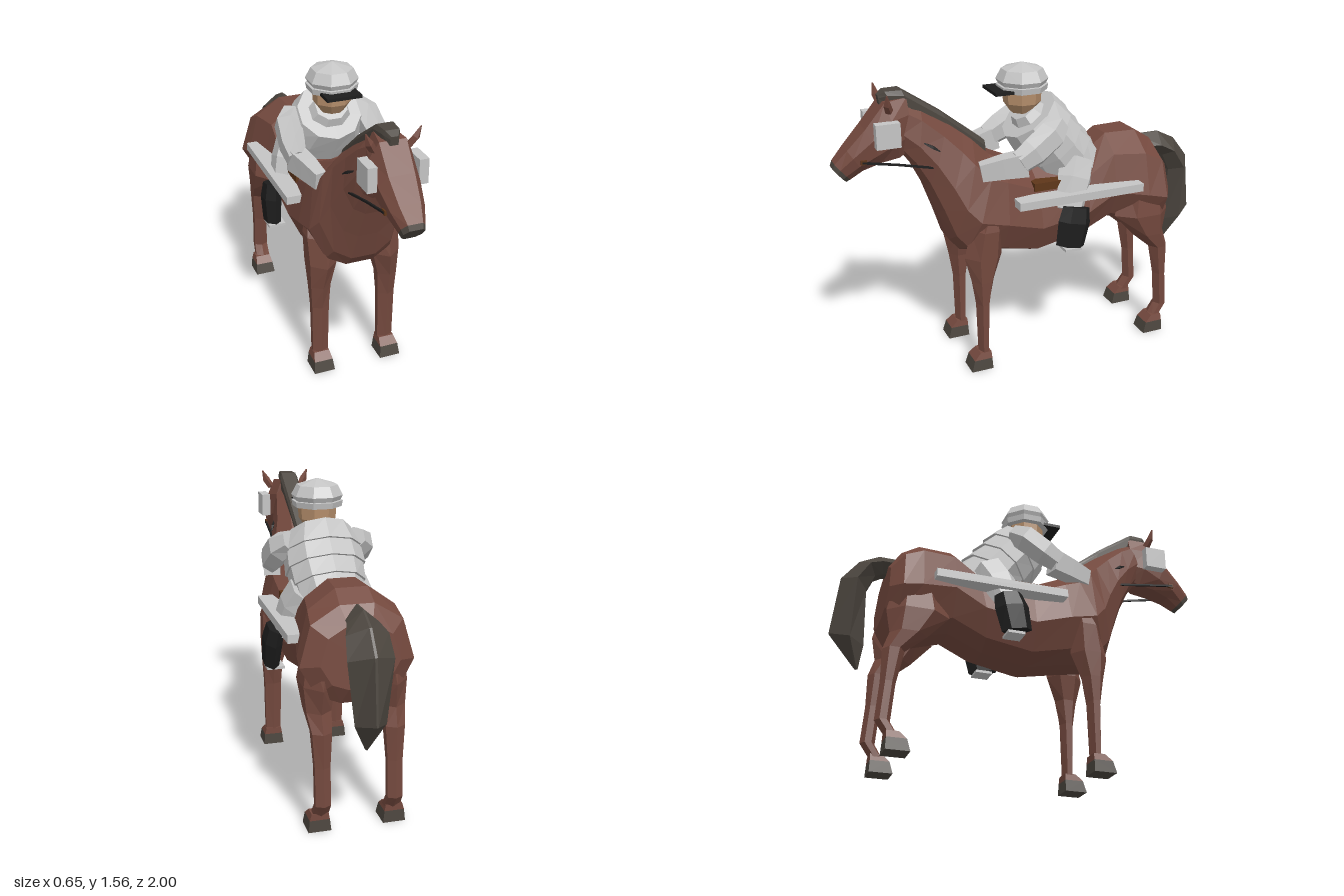
import * as THREE from 'three';

const mat = (name, color) => Object.assign(new THREE.MeshStandardMaterial({ color }), { name });

// Closed faceted skin through rings of equal point count; faces are wound outward by volume sign.
function loft(rings) {
  const tris = [], n = rings[0].length;
  for (let i = 0; i < rings.length - 1; i++) {
    for (let j = 0; j < n; j++) {
      const k = (j + 1) % n, A = rings[i], B = rings[i + 1];
      tris.push([A[j], A[k], B[k]], [A[j], B[k], B[j]]);
    }
  }
  const cap = (ring, flip) => {
    const c = [0, 1, 2].map(a => ring.reduce((s, p) => s + p[a], 0) / n);
    ring.forEach((p, j) => {
      const q = ring[(j + 1) % n];
      tris.push(flip ? [c, q, p] : [c, p, q]);
    });
  };
  cap(rings[0], true);
  cap(rings[rings.length - 1], false);
  let vol = 0;
  for (const [a, b, c] of tris) {
    vol += a[0] * (b[1] * c[2] - b[2] * c[1]) + a[1] * (b[2] * c[0] - b[0] * c[2]) + a[2] * (b[0] * c[1] - b[1] * c[0]);
  }
  const pos = tris.flatMap(t => (vol < 0 ? [t[0], t[2], t[1]] : t)).flat();
  const g = new THREE.BufferGeometry();
  g.setAttribute('position', new THREE.Float32BufferAttribute(pos, 3));
  g.computeVertexNormals();
  return g;
}

// Upright body section between a top and a bottom point, shaped by (t, width) pairs.
const BARREL = [[0, 0.3], [0.18, 0.8], [0.6, 1], [0.9, 0.72], [1, 0.3]];
const HEAD = [[0, 0.62], [0.3, 1], [0.7, 0.95], [1, 0.55]];
const PLATE = [[0, 0.8], [0.3, 1], [1, 1]];
const TAIL = [[0, 0.06], [0.55, 1], [1, 0.35]];
function section([tz, ty, bz, by, w], shape) {
  const half = shape.map(([t, f]) => [w * f, ty + (by - ty) * t, tz + (bz - tz) * t]);
  return [...half, ...half.map(([x, y, z]) => [-x, y, z]).reverse()];
}

// Level six-sided leg section: y, back z, front z, inner x, outer x.
function legRing([y, zb, zf, xi, xo], s) {
  const xm = (xi + xo) / 2, d = zf - zb;
  return [[xm, zf], [xo, zf - d * 0.3], [xo, zb + d * 0.25], [xm, zb], [xi, zb + d * 0.25], [xi, zf - d * 0.3]]
    .map(([x, z]) => [x * s, y, z]);
}

// Level four-cornered foot section with the same values.
const footRing = ([y, zb, zf, xi, xo], s) => [[xi, zb], [xi, zf], [xo, zf], [xo, zb]].map(([x, z]) => [x * s, y, z]);

// Tube of given side count through points [x, y, z, half width, half depth].
function limb(path, sides = 6, turn = 0.5) {
  const P = path.map(p => new THREE.Vector3(p[0], p[1], p[2]));
  return loft(path.map((p, i) => {
    const d = P[Math.min(i + 1, P.length - 1)].clone().sub(P[Math.max(i - 1, 0)]).normalize();
    const u = new THREE.Vector3(1, 0, 0).addScaledVector(d, -d.x).normalize();
    const v = d.clone().cross(u);
    return Array.from({ length: sides }, (_, j) => {
      const a = (j + turn) / sides * Math.PI * 2;
      return P[i].clone().addScaledVector(u, Math.cos(a) * p[3]).addScaledVector(v, Math.sin(a) * p[4]).toArray();
    });
  }));
}

function faceted(g) {
  const f = g.toNonIndexed();
  f.computeVertexNormals();
  return f;
}

export function createModel() {
  const root = new THREE.Group();
  root.name = 'horseAndRider';
  const coat = mat('chestnutCoat', 0x74493e), hair = mat('darkHairAndHoof', 0x4c463f);
  const cloth = mat('paleGreyCloth', 0xc4c4c4), black = mat('blackLeather', 0x1d1d1d);
  const skin = mat('skin', 0xb58e6b), saddleBrown = mat('saddleBrown', 0x5e3619);
  const add = (name, g, m) => {
    const mesh = new THREE.Mesh(g, m);
    mesh.name = name;
    root.add(mesh);
    return mesh;
  };
  const box = (name, m, x, y, z, w, h, d) =>
    add(name, new THREE.BoxGeometry(w, h, d), m).position.set(x, y, z);

  // Barrel, rump and neck: top z, top y, bottom z, bottom y, half width
  add('horseBody', loft([
    [-0.74, 1.02, -0.76, 0.72, 0.19], [-0.68, 1.1, -0.71, 0.64, 0.275],
    [-0.59, 1.155, -0.6, 0.64, 0.262], [-0.42, 1.155, -0.42, 0.69, 0.225],
    [-0.3, 1.06, -0.24, 0.61, 0.225], [0, 1.025, 0, 0.565, 0.235],
    [0.17, 1.1, 0.2, 0.605, 0.245], [0.23, 1.13, 0.4, 0.64, 0.24],
    [0.31, 1.21, 0.45, 0.7, 0.21], [0.36, 1.25, 0.5, 0.85, 0.172], [0.45, 1.32, 0.555, 1.0, 0.135],
    [0.56, 1.4, 0.61, 1.11, 0.108], [0.68, 1.46, 0.66, 1.18, 0.085],
  ].map(r => section(r, BARREL))), coat);

  // Head and muzzle
  add('horseHead', loft([
    [0.63, 1.46, 0.62, 1.2, 0.075], [0.74, 1.45, 0.68, 1.17, 0.105],
    [0.84, 1.33, 0.77, 1.155, 0.1], [0.93, 1.235, 0.86, 1.125, 0.082],
    [0.99, 1.17, 0.92, 1.085, 0.058],
  ].map(r => section(r, HEAD))), coat);
  add('muzzleTip', loft([[0.99, 1.17, 0.92, 1.085, 0.058], [1.0, 1.145, 0.94, 1.075, 0.052]]
    .map(r => section(r, HEAD))), hair);

  // Mane from poll to withers
  add('mane', loft([
    [0.76, 1.475, 0.755, 1.43, 0.02], [0.73, 1.495, 0.7, 1.43, 0.042], [0.65, 1.495, 0.62, 1.41, 0.05],
    [0.45, 1.36, 0.42, 1.27, 0.045], [0.235, 1.19, 0.23, 1.1, 0.035],
  ].map(r => section(r, PLATE))), hair);

  // Tail: outer z, y, inner z, y, half width, with a ridge along the outside
  add('tail', loft([
    [-0.64, 1.1, -0.68, 1.0, 0.06], [-0.78, 1.1, -0.76, 0.99, 0.075], [-0.88, 1.05, -0.8, 0.97, 0.1],
    [-0.965, 0.94, -0.84, 0.88, 0.11], [-1.0, 0.63, -0.83, 0.58, 0.075], [-0.86, 0.46, -0.845, 0.465, 0.008],
  ].map(r => section(r, TAIL))), hair);

  const foreLeg = [
    [0.88, 0.22, 0.3, 0.1, 0.225], [0.78, 0.205, 0.37, 0.1, 0.245], [0.63, 0.205, 0.405, 0.1, 0.24],
    [0.5, 0.255, 0.375, 0.13, 0.235], [0.37, 0.28, 0.355, 0.137, 0.228], [0.09, 0.29, 0.348, 0.142, 0.225],
  ];
  const hindLeg = [
    [0.92, -0.71, -0.5, 0.08, 0.22], [0.72, -0.757, -0.44, 0.1, 0.25], [0.6, -0.735, -0.55, 0.12, 0.24],
    [0.51, -0.765, -0.655, 0.13, 0.225], [0.34, -0.765, -0.69, 0.14, 0.215],
    [0.15, -0.78, -0.705, 0.14, 0.215], [0.08, -0.73, -0.66, 0.14, 0.22],
  ];
  for (const s of [1, -1]) {
    const side = s > 0 ? 'left' : 'right';
    // Horse legs, pasterns and hooves
    add(side + 'ForeLeg', loft(foreLeg.map(r => legRing(r, s))), coat);
    add(side + 'HindLeg', loft(hindLeg.map(r => legRing(r, s))), coat);
    for (const [name, zb] of [['Fore', 0.287], ['Hind', -0.733]]) {
      const coronet = [0.06, zb + 0.003, zb + 0.1, 0.137, 0.236];
      add(side + name + 'Hoof', loft([[0, zb, zb + 0.117, 0.13, 0.242], coronet].map(r => footRing(r, s))), hair);
      add(side + name + 'Pastern', loft([coronet, [0.095, zb + 0.004, zb + 0.063, 0.143, 0.226]]
        .map(r => footRing(r, s))), coat);
    }
    // Ears, blinkers, bit and reins
    add(side + 'Ear', limb([[0.085 * s, 1.41, 0.725, 0.018, 0.02], [0.11 * s, 1.45, 0.74, 0.02, 0.018],
      [0.13 * s, 1.5, 0.745, 0.003, 0.003]], 4, 0), coat);
    box(side + 'Blinker', cloth, 0.122 * s, 1.31, 0.75, 0.046, 0.12, 0.118);
    box(side + 'Bit', saddleBrown, 0.083 * s, 1.18, 0.862, 0.02, 0.022, 0.03);
    add(side + 'Rein', limb([[0.09 * s, 1.18, 0.87, 0.007, 0.007], [0.1 * s, 1.15, 0.7, 0.007, 0.007],
      [0.115 * s, 1.115, 0.53, 0.007, 0.007]], 4), black);
    add(side + 'ReinEnd', limb([[0.1 * s, 1.245, 0.575, 0.004, 0.004], [0.122 * s, 1.22, 0.53, 0.01, 0.01],
      [0.135 * s, 1.2, 0.5, 0.003, 0.003]], 4), black);

    // Long side boards
    box(side + 'SideBoard', cloth, 0.243 * s, 0.91, -0.195, 0.094, 0.042, 0.69);

    // Rider arms
    add(side + 'UpperArm', limb([[0.165 * s, 1.27, -0.1, 0.06, 0.06], [0.208 * s, 1.235, -0.05, 0.072, 0.08],
      [0.222 * s, 1.165, 0.05, 0.066, 0.08], [0.225 * s, 1.12, 0.125, 0.05, 0.065]]), cloth);
    add(side + 'Forearm', limb([[0.225 * s, 1.115, 0.09, 0.06, 0.085], [0.195 * s, 1.1, 0.2, 0.055, 0.075],
      [0.17 * s, 1.08, 0.31, 0.04, 0.062]], 4), cloth);
    // Rider legs, boots and stirrups
    add(side + 'Thigh', limb([[0.13 * s, 1.05, -0.23, 0.085, 0.1], [0.178 * s, 0.97, -0.195, 0.075, 0.1],
      [0.237 * s, 0.83, -0.145, 0.045, 0.075]]), cloth);
    add(side + 'Boot', limb([[0.267 * s, 0.855, -0.166, 0.044, 0.075], [0.28 * s, 0.78, -0.15, 0.05, 0.09],
      [0.285 * s, 0.655, -0.125, 0.042, 0.08]]), black);
    box(side + 'Stirrup', cloth, 0.268 * s, 0.638, -0.135, 0.09, 0.014, 0.09);
  }

  // Saddle
  box('saddle', saddleBrown, 0, 0.963, -0.06, 0.4, 0.042, 0.19);

  // Rider torso in overlapping layers from hips to shoulders
  const widths = [0.155, 0.18, 0.197, 0.2, 0.165];
  const at = t => [0, 0.99 + 0.29 * t, -0.255 + 0.235 * t];
  for (let i = 0; i < 4; i++) {
    add('torsoLayer' + (i + 1), limb([
      [...at(i / 4 - (i ? 0.02 : 0.08)), widths[i] + 0.01, 0.178], [...at((i + 1) / 4 + 0.03), widths[i + 1], 0.163],
    ], 10), cloth);
  }
  add('collar', limb([[...at(0.98), 0.12, 0.105], [...at(1.14), 0.085, 0.075]], 8), cloth);

  // Rider head, cap and peak
  const lathe = (name, pts, m) => {
    const g = new THREE.LatheGeometry(pts.map(p => new THREE.Vector2(...p)), 8, Math.PI / 8);
    add(name, faceted(g), m).position.z = 0.02;
  };
  lathe('riderHead', [[0, 1.305], [0.06, 1.31], [0.095, 1.36], [0.1, 1.44]], skin);
  lathe('capBand', [[0.095, 1.418], [0.126, 1.422], [0.132, 1.452], [0.11, 1.455]], cloth);
  lathe('cap', [[0.118, 1.45], [0.132, 1.478], [0.105, 1.53], [0, 1.562]], cloth);
  box('capPeak', black, 0, 1.432, 0.14, 0.18, 0.016, 0.11);
  return root;
}
